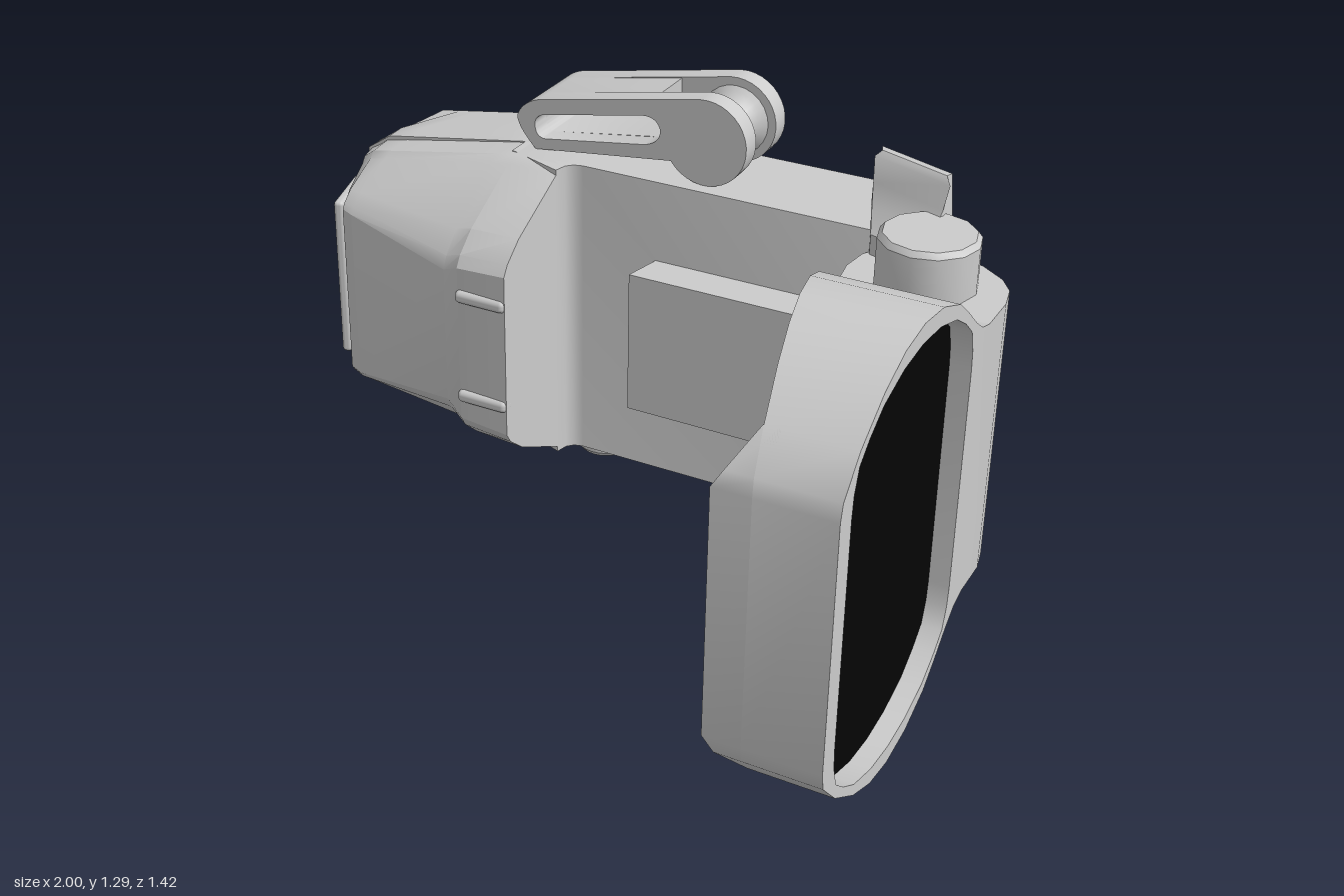
import * as THREE from 'three';
import { toCreasedNormals } from 'three/addons/utils/BufferGeometryUtils.js';
import { RoundedBoxGeometry } from 'three/addons/geometries/RoundedBoxGeometry.js';

const grey = new THREE.MeshStandardMaterial({ color: 0xcccccc });
const black = new THREE.MeshStandardMaterial({ color: 0x050505, side: THREE.DoubleSide });
const MID = 0.61; // height of the body's mirror plane

const v2 = (pts) => pts.map(([a, b]) => new THREE.Vector2(a, b));
const { lerp, clamp } = THREE.MathUtils;

// Piecewise-linear lookup in [[x, value], ...]
function curve(table, x) {
  let i = 1;
  while (i < table.length - 1 && x > table[i][0]) i++;
  const [[x0, a], [x1, b]] = [table[i - 1], table[i]];
  return lerp(a, b, clamp((x - x0) / (x1 - x0), 0, 1));
}

// Extrude a (z, y) outline along x from 0 to 1; rule(v) then places each vertex
function extrudeX(pts, holes, steps, rule) {
  const flip = (list) => v2(list.map(([z, y]) => [-z, y]));
  const shape = new THREE.Shape(flip(pts));
  holes.forEach((h) => shape.holes.push(new THREE.Path(flip(h))));
  const g = new THREE.ExtrudeGeometry(shape, { depth: 1, steps, bevelEnabled: false });
  g.rotateY(Math.PI / 2);
  const p = g.attributes.position, v = new THREE.Vector3();
  for (let i = 0; i < p.count; i++) {
    v.fromBufferAttribute(p, i);
    rule(v);
    p.setXYZ(i, v.x, v.y, v.z);
  }
  return toCreasedNormals(g, 0.55);
}

// Extrude an (x, z) outline along y
function extrudeY(pts, y0, y1) {
  const shape = new THREE.Shape(v2(pts.map(([x, z]) => [x, -z])));
  const g = new THREE.ExtrudeGeometry(shape, { depth: y1 - y0, bevelEnabled: false });
  return toCreasedNormals(g.rotateX(-Math.PI / 2).translate(0, y0, 0), 0.6);
}

// Loft equal-length rings of [x, y, z] and cap both ends with fans
function loft(rings) {
  const n = rings[0].length, idx = [];
  for (let i = 0; i < rings.length - 1; i++)
    for (let j = 0; j < n; j++) {
      const a = i * n + j, b = i * n + (j + 1) % n;
      idx.push(a, b, a + n, b, b + n, a + n);
    }
  const last = (rings.length - 1) * n;
  for (let j = 1; j < n - 1; j++) idx.push(0, j + 1, j, last, last + j, last + j + 1);
  const g = new THREE.BufferGeometry();
  g.setAttribute('position', new THREE.Float32BufferAttribute(rings.flat(2), 3));
  g.setIndex(idx);
  return toCreasedNormals(g, 0.5);
}

// Upright stub with a slightly chamfered outer end
function stub(r, h, sides) {
  const pts = v2([[0, 0], [r, 0], [r, h - 0.015], [r - 0.012, h], [0, h]]);
  return toCreasedNormals(new THREE.LatheGeometry(pts, sides), 0.6);
}

export function createModel() {
  const model = new THREE.Group();
  const add = (name, geo, x = 0, y = 0, z = 0, mat = grey) => {
    const m = new THREE.Mesh(geo, mat);
    m.name = name;
    m.position.set(x, y, z);
    model.add(m);
    return m;
  };
  const mirrored = (pts, c) => [...pts].reverse().map(([z, y]) => [z, 2 * c - y]);

  // Rail clamp: slotted profile with slanted ends and a tapered left end
  const halfHeight = [[-1, 0.29], [-0.95, 0.34], [-0.9, 0.365], [-0.45, 0.44]];
  const upper = [[-0.49, 1.05], [-0.565, 1.05], [-0.715, 1.05], [-0.715, 0.87],
    [-0.68, 0.87], [-0.627, 0.92], [-0.565, 0.87]];
  add('railClamp', extrudeX([...upper, ...mirrored(upper, MID)], [], 24, (v) => {
    const left = curve([[-0.715, -0.86], [-0.56, -0.985], [-0.49, -0.975]], v.z);
    const right = curve([[-0.715, 0.62], [-0.49, 0.82]], v.z);
    v.x = lerp(left, right, v.x);
    const h = curve(halfHeight, v.x), d = v.y - MID;
    if (Math.abs(d) > 0.35) v.y = MID + Math.sign(d) * Math.min(Math.abs(d), h);
  }));

  // Front wall of the clamp, with a fillet into the head
  add('clampFront', extrudeY([[-0.45, -0.49], [0.82, -0.49], [0.62, -0.42], [-0.23, -0.42], [-0.255, -0.413],
    [-0.272, -0.395], [-0.28, -0.36], [-0.45, -0.42]], 0.17, 1.05));

  // Head: [x, half height, shoulder z, front z, front half height, end slant]
  const stations = [
    [-0.985, 0.27, -0.44, -0.33, 0.2, 0.25],
    [-0.965, 0.315, -0.43, -0.265, 0.23, 0.23],
    [-0.91, 0.35, -0.41, -0.215, 0.25, 0.1],
    [-0.84, 0.365, -0.4, -0.195, 0.25, 0],
    [-0.49, 0.43, -0.4, -0.115, 0.2, 0],
    [-0.43, 0.44, -0.4, -0.087, 0.23, 0],
    [-0.28, 0.44, -0.4, -0.08, 0.24, 0],
  ];
  add('head', loft(stations.map(([x, h, s, f, b, k]) => {
    const half = [[-0.55, h], [s, h], [lerp(s, f, 0.12), h - 0.015], [lerp(s, f, 0.75), lerp(h, b, 0.6)],
      [lerp(s, f, 0.94), lerp(h, b, 0.85)], [f, b]];
    const ring = [...half, ...mirrored(half, 0)];
    return ring.map(([z, y]) => [x + k * (z + 0.5), MID + y, z]);
  })));

  // Grip bars on the front of the head
  for (const y of [0.455, 0.76])
    add('gripBar', new RoundedBoxGeometry(0.155, 0.036, 0.05, 2, 0.015), -0.357, y, -0.095);

  // End cover with two pads
  const cover = new THREE.Group();
  cover.name = 'endCover';
  cover.position.set(-0.96, MID, -0.36);
  cover.rotation.y = 0.28;
  const coverPart = (name, w, h, d, x, y) => {
    const m = new THREE.Mesh(new RoundedBoxGeometry(w, h, d, 2, 0.012), grey);
    m.name = name;
    m.position.set(x, y, 0);
    cover.add(m);
  };
  coverPart('coverPlate', 0.03, 0.48, 0.2, 0, 0);
  for (const s of [-1, 1]) coverPart('coverPad', 0.03, 0.2, 0.12, -0.01, s * 0.115);
  model.add(cover);

  // Block on the front of the clamp, and the knob beneath
  add('frontBlock', extrudeY([[-0.03, -0.31], [0.62, -0.31], [0.62, -0.45], [0, -0.45]], 0.41, 0.82));
  add('bottomKnob', stub(0.085, 0.09, 24).rotateX(Math.PI), -0.235, 0.19, -0.57);

  // Clamp lever: slotted plates either side of an open-ended core
  const closeTail = (s) => s.lineTo(-0.39, 1.195).quadraticCurveTo(-0.44, 1.18, -0.456, 1.14)
    .quadraticCurveTo(-0.46, 1.11, -0.4, 1.05);
  const slotTail = (s) => s.lineTo(-0.37, 1.085).quadraticCurveTo(-0.395, 1.085, -0.4, 1.11)
    .quadraticCurveTo(-0.41, 1.15, -0.36, 1.157);
  const leverPlate = new THREE.Shape();
  leverPlate.moveTo(-0.4, 1.05).lineTo(0.01, 1.1);
  leverPlate.absarc(0.11, 1.17, 0.12, Math.PI * 1.2, Math.PI * 2.54, false);
  closeTail(leverPlate);
  const slot = new THREE.Path();
  slot.moveTo(-0.07, 1.13);
  slotTail(slot).lineTo(-0.07, 1.212).quadraticCurveTo(-0.03, 1.215, -0.02, 1.18)
    .quadraticCurveTo(-0.02, 1.14, -0.07, 1.13);
  leverPlate.holes.push(new THREE.Path(slot.getPoints(8).reverse()));
  const leverCore = new THREE.Shape();
  leverCore.moveTo(-0.4, 1.05).lineTo(-0.05, 1.093).lineTo(-0.05, 1.134);
  closeTail(slotTail(leverCore).lineTo(-0.05, 1.212).lineTo(-0.05, 1.258));
  for (const [name, shape, z, depth] of [['leverPlate', leverPlate, -0.705, 0.06],
    ['leverCore', leverCore, -0.645, 0.125], ['leverPlate', leverPlate, -0.52, 0.06]])
    add(name, toCreasedNormals(new THREE.ExtrudeGeometry(shape, { depth, bevelEnabled: false }), 0.5), 0, 0, z);

  // Waisted roller between the plates
  const waist = [];
  for (let i = 0; i <= 10; i++) waist.push([0.06 + 0.04 * (i / 5 - 1) ** 2, -0.065 + 0.013 * i]);
  add('leverRoller', new THREE.LatheGeometry(v2(waist), 24).rotateX(Math.PI / 2), 0.11, 1.17, -0.5825);
  add('leverFoot', new THREE.BoxGeometry(0.06, 0.1, 0.12), 0.11, 1.08, -0.5825);

  // Latch tab beside the hinge: thin slanted plate on a curved, sheared ramp
  const tab = [[0.13, -0.06], [0.13, 0], [0.085, 0.05], [0.055, 0.1], [0.035, 0.16], [0.02, 0.175],
    [0, 0.175], [0, -0.06]];
  const tabMesh = add('latchTab', extrudeX(tab, [], 1, (v) => {
    const inset = v.y > 0.16 ? 0.025 : 0;
    v.x = lerp(inset + 0.9 * v.z, 0.28 - inset, v.x);
  }), 0.54, 1.045, -0.567);
  tabMesh.rotation.y = -0.35;

  // Hinge arm and its two pin caps
  add('hingeArm', extrudeY([[1, -0.09], [1, -0.31], [0.985, -0.38], [0.95, -0.43], [0.88, -0.48], [0.8, -0.497],
    [0.7, -0.497], [0.62, -0.45], [0.59, -0.4], [0.58, -0.32], [0.595, -0.22], [0.623, -0.09]], 0.22, 0.99));
  add('upperPinCap', stub(0.13, 0.16, 12), 0.79, 0.97, -0.32);
  add('lowerPinCap', stub(0.13, 0.12, 12).rotateX(Math.PI), 0.79, 0.25, -0.32);
  add('armStop', new RoundedBoxGeometry(0.03, 0.54, 0.04, 2, 0.012), 0.603, MID, -0.155);

  // Lens hood: rounded ring with a slanted inner rim
  const C = 0.605;
  const outer = [[0.71, 0.94], [0.7, 0.985], [0.62, 1.07], [0.5, 1.15], [0.39, 1.195], [0.28, 1.21], [0.16, 1.195],
    [0.046, 1.15], [-0.02, 1.1], [-0.09, 1.04], [-0.14, 1.005], [-0.19, 0.99]];
  const quarter = [[0.365, 0.31], [0.36, 0.365], [0.34, 0.425], [0.29, 0.468], [0.22, 0.512], [0.11, 0.545]];
  const top = [...quarter, [0, 0.555], ...[...quarter].reverse().map(([z, y]) => [-z, y])]
    .map(([z, y]) => [0.28 + z, C + y]);
  const opening = [...top, ...mirrored(top, C)].reverse();
  add('lensHood', extrudeX([...outer, ...mirrored(outer, C)], [opening], 1, (v) => {
    v.x = lerp(0.643 + 0.22 * v.z, 1, v.x);
  }));

  // Lip along the front of the hood's inner rim, fading out at the corners
  const lip = [[0.645, 0.915], [0.64, 0.97], [0.62, 1.03], [0.62, 1.07], [0.7, 0.985], [0.71, 0.94]];
  add('hoodLip', extrudeX([...lip, ...mirrored(lip, C)], [], 1, (v) => {
    v.x = lerp(0.7 + 0.6 * Math.max(0, Math.abs(v.y - C) - 0.335), 0.82, v.x);
  }));

  // Dark lens set slightly inside the hood
  const glass = new THREE.ShapeGeometry(new THREE.Shape(v2(opening.map(([z, y]) => [-z, y]))));
  add('lens', glass.rotateY(Math.PI / 2), 0.945, 0, 0, black);

  return model;
}
